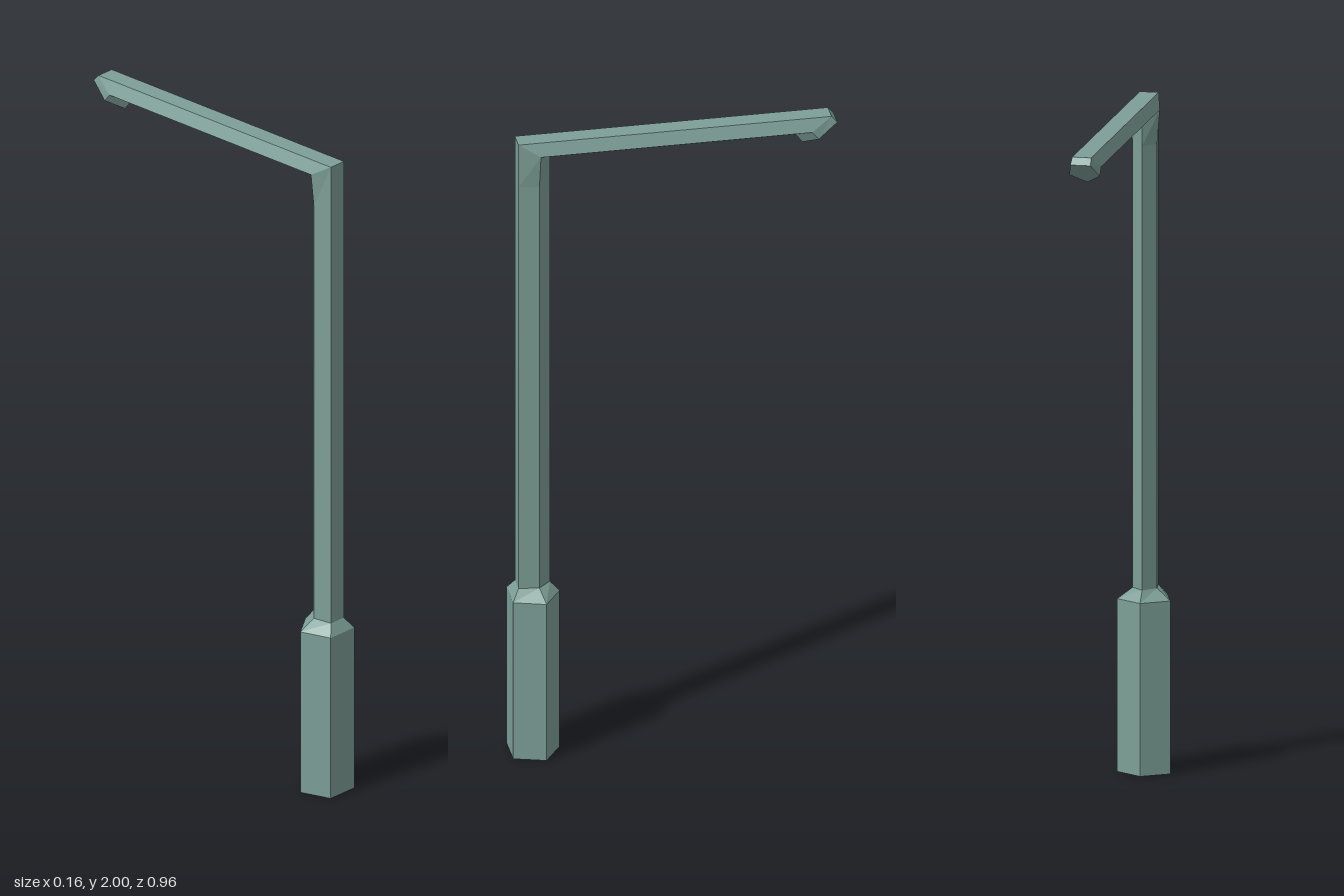
import * as THREE from 'three';

// Five-sided ring: flat pair, side pair and ridge, each pair as [halfWidth, y, z]
function ring(flat, side, ridge) {
  const [fx, fy, fz] = flat, [sx, sy, sz] = side, [ry, rz] = ridge;
  return [[fx, fy, fz], [sx, sy, sz], [0, ry, rz], [-sx, sy, sz], [-fx, fy, fz]];
}

const levelRing = (y, flat, side, ridgeZ) =>
  ring([flat[0], y, flat[1]], [side[0], y, side[1]], [y, ridgeZ]);

// Joins rings into a faceted skin, with optional end caps
function loft(rings, capStart, capEnd) {
  const pos = [];
  const tri = (a, b, c) => pos.push(...a, ...b, ...c);
  for (let i = 0; i < rings.length - 1; i++) {
    const p = rings[i], q = rings[i + 1], n = p.length;
    for (let j = 0; j < n; j++) {
      const k = (j + 1) % n;
      tri(p[j], p[k], q[k]);
      tri(p[j], q[k], q[j]);
    }
  }
  const first = rings[0], last = rings[rings.length - 1];
  for (let j = 1; j < first.length - 1; j++) {
    if (capStart) tri(first[0], first[j + 1], first[j]);
    if (capEnd) tri(last[0], last[j], last[j + 1]);
  }
  const g = new THREE.BufferGeometry();
  g.setAttribute('position', new THREE.Float32BufferAttribute(pos, 3));
  g.computeVertexNormals();
  return g;
}

export function createModel() {
  const group = new THREE.Group();
  group.name = 'streetLamp';
  const paint = new THREE.MeshStandardMaterial({ color: 0x7d9f97, flatShading: true });
  paint.name = 'greyGreenPaint';

  const add = (name, geometry) => {
    const mesh = new THREE.Mesh(geometry, paint);
    mesh.name = name;
    group.add(mesh);
  };

  // Rings shared by neighbouring parts
  const poleFoot = levelRing(0.545, [0.027, 0.46], [0.036, 0.4], 0.362);
  const mitre = ring([0.028, 2, 0.46], [0.045, 1.962, 0.397], [1.937, 0.362]);
  const armEnd = ring([0.028, 2, -0.463], [0.045, 1.962, -0.403], [1.937, -0.362]);

  // Thick base with a sloping shoulder
  add('base', loft([
    levelRing(0, [0.05, 0.48], [0.079, 0.387], 0.333),
    levelRing(0.512, [0.05, 0.48], [0.079, 0.387], 0.333),
    poleFoot,
  ], true, false));

  // Upright, flaring slightly into the mitred corner
  add('pole', loft([
    poleFoot,
    levelRing(1.86, [0.027, 0.46], [0.036, 0.4], 0.362),
    mitre,
  ], false, false));

  // Horizontal arm
  add('arm', loft([mitre, armEnd], false, false));

  // Slanted lamp head, facing down and back
  add('lampHead', loft([
    armEnd,
    ring([0.03, 1.98, -0.48], [0.045, 1.938, -0.422], [1.91, -0.383]),
  ], false, true));

  return group;
}
